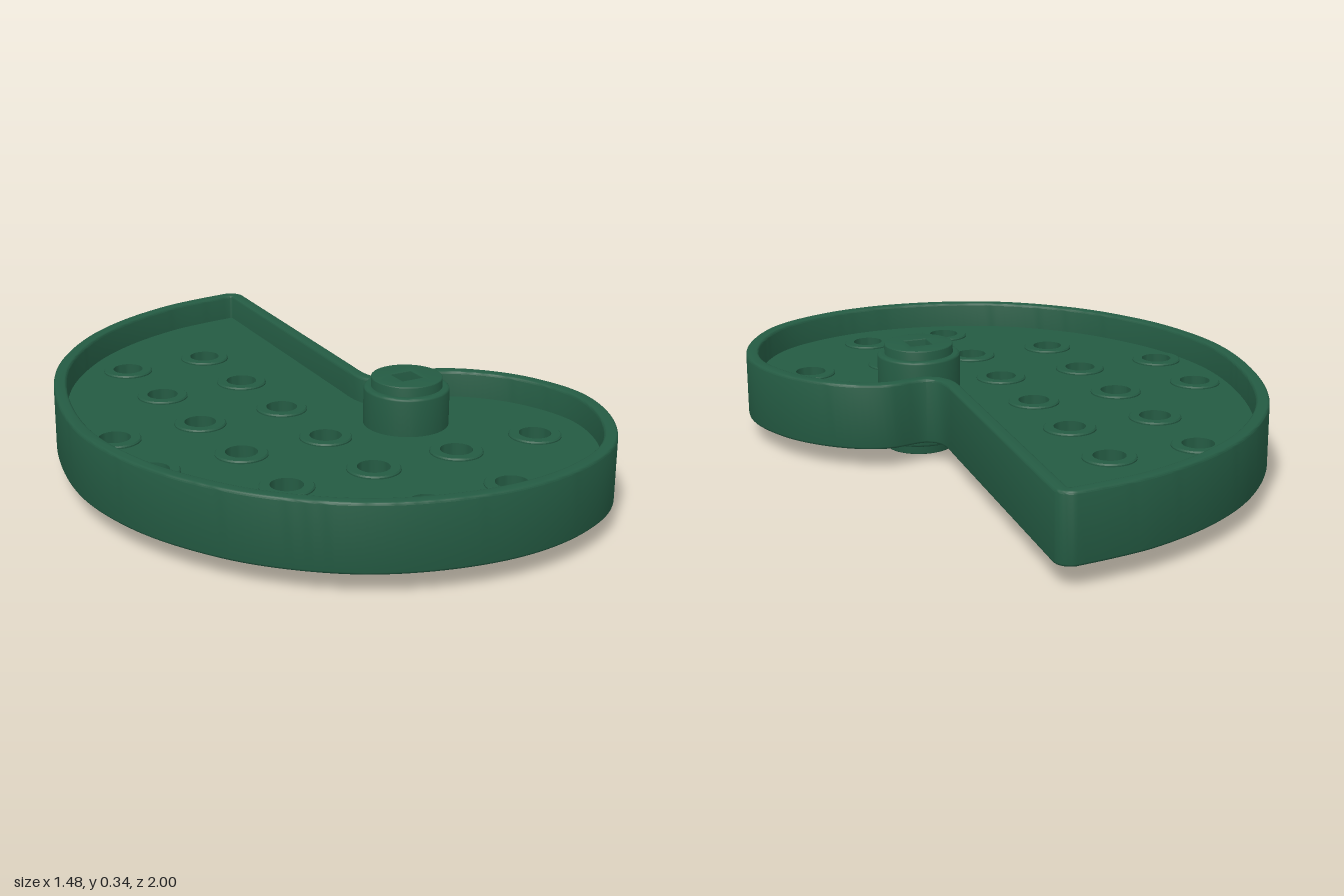
import * as THREE from 'three';
import { toCreasedNormals } from 'three/addons/utils/BufferGeometryUtils.js';

const MID = 0.168; // mid-height of the cam
const HUB = [0.248, 0.25];
const PITCH = 0.279;

// Spiral edge in (x, z): notch, small end, front, left side, up to the tip
const EDGE = [
  [0.252, -0.08], [0.249, 0], [0.26, 0.042], [0.29, 0.064], [0.335, 0.06], [0.405, 0.05],
  [0.49, 0.076], [0.585, 0.145], [0.68, 0.27], [0.738, 0.468], [0.697, 0.665], [0.565, 0.857],
  [0.375, 0.961], [0.16, 0.999], [-0.077, 0.969], [-0.29, 0.882], [-0.49, 0.714], [-0.615, 0.533],
  [-0.697, 0.338], [-0.737, 0.08], [-0.69, -0.24], [-0.575, -0.525], [-0.395, -0.745],
  [-0.21, -0.876], [0, -0.962], [0.13, -0.987], [0.247, -1],
];

function camOutline() {
  const curve = new THREE.CatmullRomCurve3(EDGE.map(([x, z]) => new THREE.Vector3(x, 0, z)));
  const pts = curve.getSpacedPoints(180).map((p) => new THREE.Vector2(p.x, p.z));
  // rounded tip
  for (let i = 1; i <= 10; i++) {
    const a = (i / 10) * Math.PI * 0.5;
    pts.push(new THREE.Vector2(0.247 + 0.049 * Math.sin(a), -0.951 - 0.049 * Math.cos(a)));
  }
  return pts;
}

// Move the outline inwards by d
function inset(pts, d) {
  const n = pts.length;
  return pts.map((p, i) => {
    const a = p.clone().sub(pts[(i + n - 1) % n]).normalize();
    const b = pts[(i + 1) % n].clone().sub(p).normalize();
    const t = a.add(b).normalize();
    return new THREE.Vector2(p.x - t.y * d, p.y + t.x * d);
  });
}

// From (x, z) to shape space, always counter-clockwise so walls face outwards
function toShape(pts) {
  const out = pts.map((p) => new THREE.Vector2(p.x, -p.y));
  return THREE.ShapeUtils.isClockWise(out) ? out.reverse() : out;
}

function circle(x, z, r, n = 32) {
  return Array.from({ length: n }, (_, i) => {
    const a = (i / n) * Math.PI * 2;
    return new THREE.Vector2(x + r * Math.cos(a), z + r * Math.sin(a));
  });
}

// Upright slab from y0 to y1, outline and holes given in (x, z)
function slab(outline, holes, y0, y1, bevel) {
  const shape = new THREE.Shape(toShape(outline));
  shape.holes = holes.map((h) => new THREE.Path(toShape(h).reverse()));
  const geo = new THREE.ExtrudeGeometry(shape, {
    depth: y1 - y0 - 2 * bevel,
    bevelEnabled: bevel > 0,
    bevelThickness: bevel,
    bevelSize: bevel,
    bevelOffset: -bevel,
    bevelSegments: 3,
  });
  geo.rotateX(-Math.PI / 2);
  geo.translate(0, y0 + bevel, 0);
  return toCreasedNormals(geo, 0.6);
}

export function createModel() {
  const group = new THREE.Group();
  group.name = 'snailCam';
  const material = new THREE.MeshStandardMaterial({ color: 0x245b43 });
  const add = (name, geo) => {
    const mesh = new THREE.Mesh(geo, material);
    mesh.name = name;
    group.add(mesh);
    return mesh;
  };

  // Peg holes: [column, row] steps from the hub
  const holes = [
    [-2, -3], [-1, -3], [-2, -2], [-1, -2], [-3, -1], [-2, -1], [-1, -1],
    [-3, 0], [-2, 0], [-1, 0], [-2, 1], [-1, 1], [0, 1], [1, 1], [-1, 2], [0, 2],
  ].map(([c, r]) => [HUB[0] + c * PITCH, HUB[1] + r * PITCH]);

  // Rim wall
  const outline = camOutline();
  add('rim', slab(outline, [inset(outline, 0.04)], 0.065, 0.271, 0.008));

  // Web plate across the middle of the rim
  const cuts = holes.map(([x, z]) => circle(x, z, 0.06));
  cuts.push(circle(...HUB, 0.118));
  add('web', slab(inset(outline, 0.02), cuts, MID - 0.02, MID + 0.02, 0));

  // Low collars lining the peg holes
  const profile = [
    [0.048, -0.028], [0.075, -0.028], [0.079, -0.024], [0.079, 0.024],
    [0.075, 0.028], [0.048, 0.028], [0.048, -0.028],
  ].map(([r, y]) => new THREE.Vector2(r, y));
  const collar = toCreasedNormals(new THREE.LatheGeometry(profile, 32), 0.6);
  for (const [x, z] of holes) add('holeCollar', collar).position.set(x, MID, z);

  // Hub with raised bosses and a square axle hole
  const [hx, hz] = HUB;
  const s = 0.036;
  const square = [[-s, -s], [s, -s], [s, s], [-s, s]]
    .map(([x, z]) => new THREE.Vector2(hx + x, hz + z));
  add('hubBody', slab(circle(hx, hz, 0.13, 48), [circle(hx, hz, 0.1, 48)], 0.03, 0.306, 0.008));
  add('hubBoss', slab(circle(hx, hz, 0.108, 48), [square], 0, 0.336, 0.003));

  return group;
}
